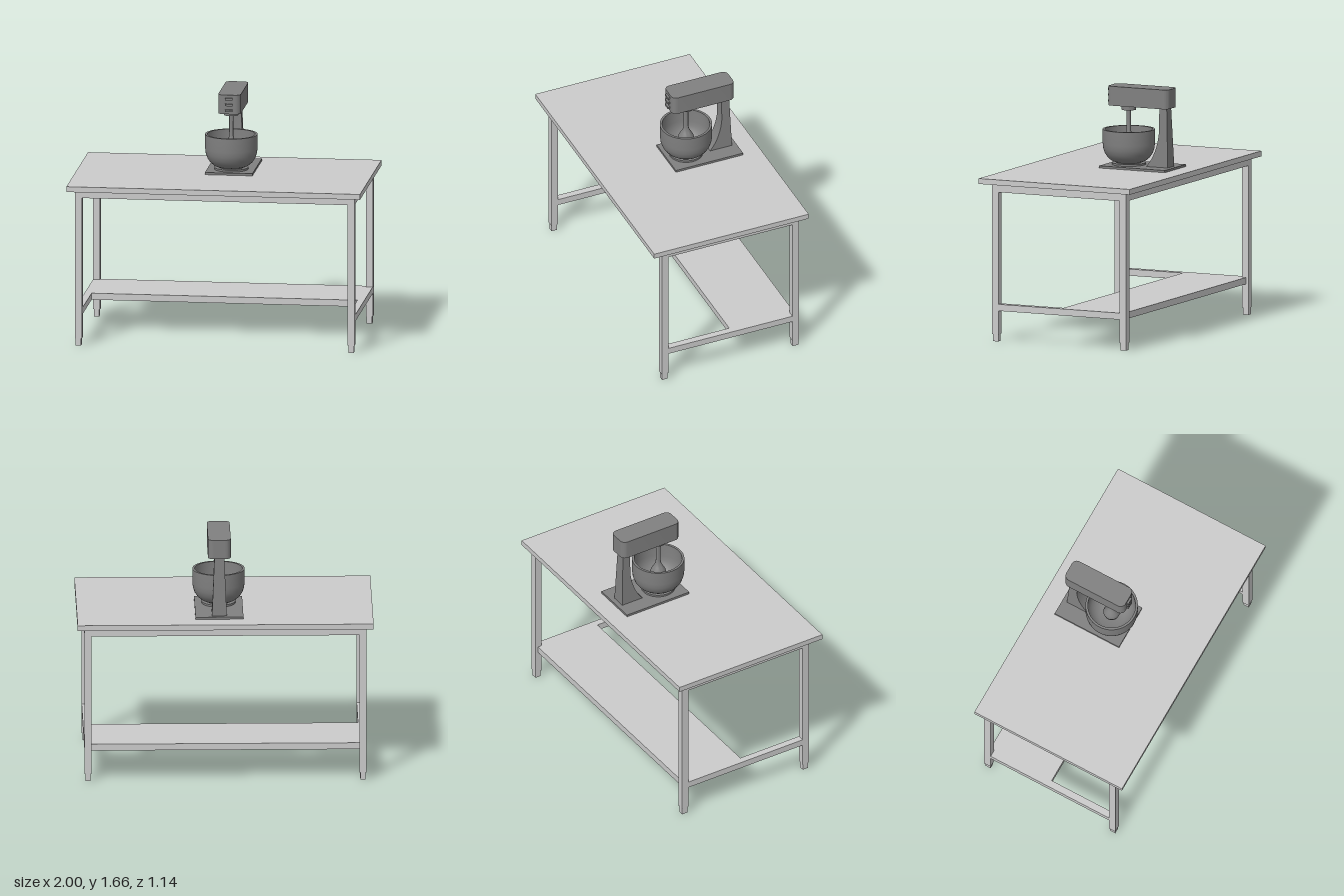
import * as THREE from 'three';
import { toCreasedNormals } from 'three/addons/utils/BufferGeometryUtils.js';

const steel = new THREE.MeshStandardMaterial({ color: 0xcccccc });
const dark = new THREE.MeshStandardMaterial({ color: 0x808080 });

function add(parent, name, geometry, material) {
  const mesh = new THREE.Mesh(geometry, material);
  mesh.name = name;
  parent.add(mesh);
  return mesh;
}

// Box given by its lower and upper limits on each axis
function box(parent, name, material, [x0, x1], [y0, y1], [z0, z1]) {
  const mesh = add(parent, name, new THREE.BoxGeometry(x1 - x0, y1 - y0, z1 - z0), material);
  mesh.position.set((x0 + x1) / 2, (y0 + y1) / 2, (z0 + z1) / 2);
  return mesh;
}

function lathe(parent, name, profile, segments = 48) {
  const points = profile.map(([r, y]) => new THREE.Vector2(r, y));
  return add(parent, name, toCreasedNormals(new THREE.LatheGeometry(points, segments), 0.6), dark);
}

function createTable() {
  const table = new THREE.Group();
  table.name = 'table';
  box(table, 'tableTop', steel, [-1, 1], [1.075, 1.112], [-0.57, 0.57]);

  const legZ = [[-0.52, -0.47], [0.443, 0.493]];
  for (const side of [-1, 1]) {
    const legX = side > 0 ? [0.905, 0.953] : [-0.953, -0.905];
    for (const [z0, z1] of legZ) {
      box(table, 'leg', steel, legX, [0.05, 1.075], [z0, z1]);
      box(table, 'foot', steel, [legX[0] + 0.006, legX[1] - 0.006], [0, 0.05], [z0 + 0.004, z1 - 0.004]);
    }
    // Side rails run between the front and back legs
    box(table, 'sideApron', steel, legX, [1.02, 1.075], [-0.47, 0.443]);
    box(table, 'sideStretcher', steel, legX, [0.21, 0.255], [-0.47, 0.443]);
  }
  for (const z of legZ) box(table, 'longApron', steel, [-0.905, 0.905], [1.02, 1.075], z);

  // Half-depth shelf towards the back
  box(table, 'lowerShelf', steel, [-0.905, 0.905], [0.21, 0.255], [-0.5, -0.025]);
  return table;
}

function createColumn(parent) {
  // Side profile drawn with u = -z, extruded across x
  const shape = new THREE.Shape();
  shape.moveTo(0.24, 1.125);
  shape.bezierCurveTo(0.29, 1.18, 0.325, 1.26, 0.333, 1.36);
  shape.lineTo(0.333, 1.54);
  shape.lineTo(0.388, 1.54);
  shape.lineTo(0.404, 1.125);
  shape.closePath();
  const geometry = new THREE.ExtrudeGeometry(shape, { depth: 1, bevelEnabled: false, curveSegments: 12 });
  geometry.translate(0, 0, -0.5).rotateY(Math.PI / 2);
  // The column narrows towards the head
  const p = geometry.attributes.position;
  for (let i = 0; i < p.count; i++) {
    const t = (p.getY(i) - 1.125) / 0.415;
    p.setX(i, p.getX(i) * THREE.MathUtils.lerp(0.1, 0.066, t));
  }
  geometry.computeVertexNormals();
  add(parent, 'column', toCreasedNormals(geometry, 0.5), dark);
}

function createHead(parent) {
  // Plan outline with rounded corners, extruded upwards
  const w = 0.077, back = -0.415, front = 0.043, r = 0.038;
  const shape = new THREE.Shape();
  shape.absarc(w - r, front - r, r, 0, Math.PI / 2);
  shape.absarc(-w + r, front - r, r, Math.PI / 2, Math.PI);
  shape.absarc(-w + r, back + r, r, Math.PI, Math.PI * 1.5);
  shape.absarc(w - r, back + r, r, Math.PI * 1.5, Math.PI * 2);
  const geometry = new THREE.ExtrudeGeometry(shape, { depth: 0.132, bevelEnabled: false, curveSegments: 10 });
  geometry.rotateX(Math.PI / 2).translate(0, 1.662, 0);
  add(parent, 'head', toCreasedNormals(geometry, 0.5), dark);
  for (const y of [1.555, 1.595, 1.635]) {
    box(parent, 'controlButton', dark, [-0.025, 0.025], [y - 0.007, y + 0.007], [0.04, 0.058]);
  }
}

function createMixer() {
  const mixer = new THREE.Group();
  mixer.name = 'standMixer';
  mixer.position.x = 0.039;
  box(mixer, 'basePlate', dark, [-0.162, 0.162], [1.112, 1.127], [-0.437, 0.06]);
  createColumn(mixer);
  createHead(mixer);

  // Bowl, drive and beater share one upright axis
  const axis = new THREE.Group();
  axis.name = 'bowlAndBeater';
  axis.position.z = -0.086;
  mixer.add(axis);
  lathe(axis, 'bowlFoot', [[0, 1.125], [0.115, 1.125], [0.115, 1.14], [0.085, 1.14], [0.085, 1.15], [0, 1.15]]);
  lathe(axis, 'bowl', [
    [0, 1.143], [0.09, 1.143], [0.118, 1.155], [0.143, 1.176], [0.162, 1.204], [0.173, 1.237], [0.177, 1.272], [0.177, 1.368],
    [0.161, 1.368], [0.161, 1.272], [0.157, 1.24], [0.147, 1.212], [0.13, 1.187], [0.108, 1.168], [0.085, 1.158], [0, 1.158],
  ]);
  lathe(axis, 'driveHub', [[0, 1.5], [0.05, 1.5], [0.05, 1.532], [0, 1.532]], 32);
  lathe(axis, 'beater', [
    [0, 1.18], [0.03, 1.185], [0.05, 1.21], [0.057, 1.245], [0.05, 1.275], [0.032, 1.305], [0.02, 1.33], [0.016, 1.355], [0.016, 1.505],
  ], 24);
  return mixer;
}

export function createModel() {
  const model = new THREE.Group();
  model.name = 'mixerOnWorkTable';
  model.add(createTable(), createMixer());
  return model;
}
